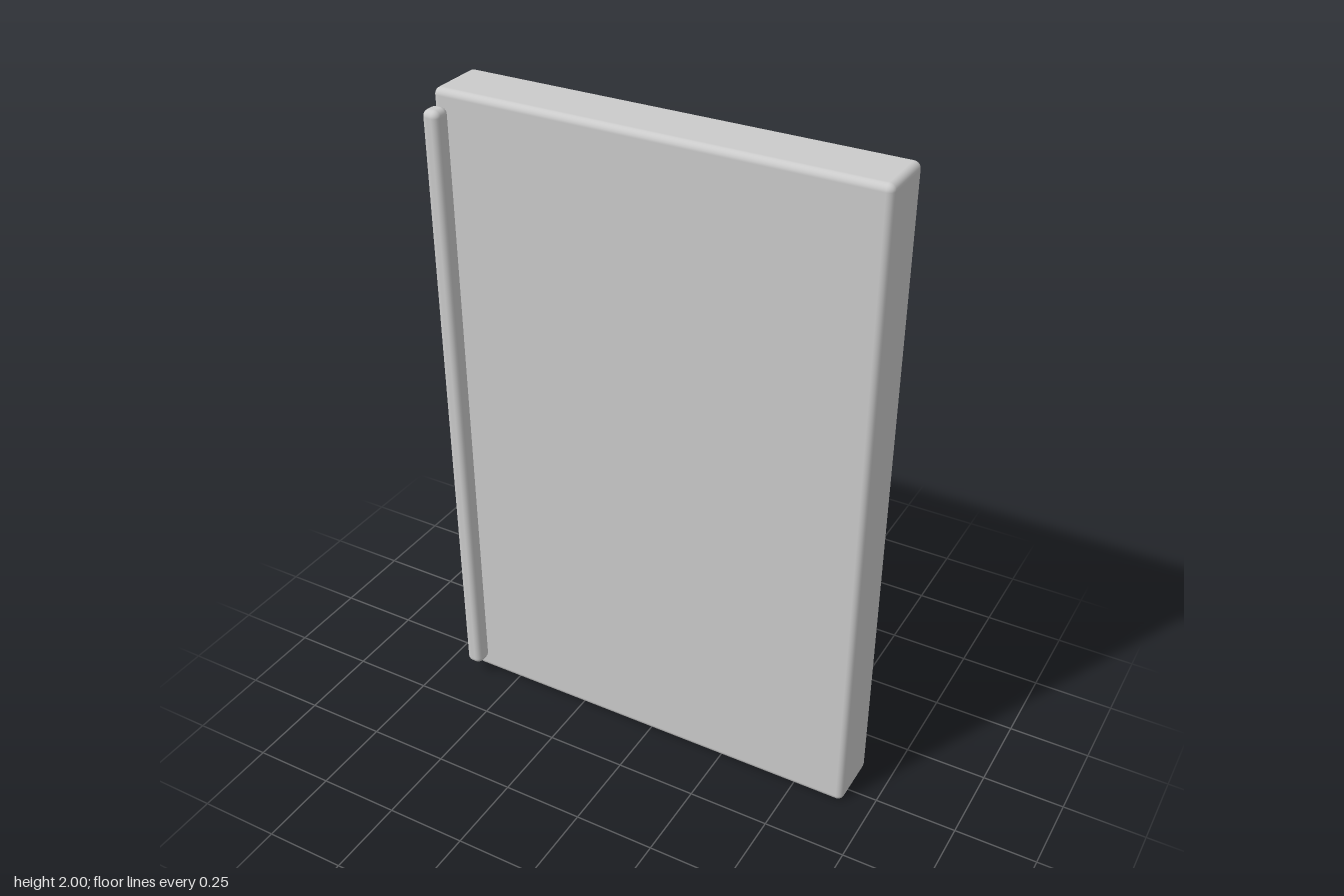
import * as THREE from 'three';
import { RoundedBoxGeometry } from 'three/addons/geometries/RoundedBoxGeometry.js';

export function createModel() {
  const model = new THREE.Group();
  const material = new THREE.MeshStandardMaterial({ color: 0xcccccc });

  // Softly rounded block given by its minimum and maximum corners
  function addBlock(name, min, max, radius) {
    const size = max.map((v, i) => v - min[i]);
    const mesh = new THREE.Mesh(new RoundedBoxGeometry(...size, 3, radius), material);
    mesh.position.set(...max.map((v, i) => (v + min[i]) / 2));
    mesh.name = name;
    model.add(mesh);
  }

  // Door slab
  addBlock('doorPanel', [-0.662, 0, -0.122], [0.662, 2, 0.063], 0.02);
  // Full-height pull bar along the front edge
  addBlock('handleBar', [-0.662, 0.05, 0.062], [-0.609, 1.957, 0.122], 0.02);

  return model;
}
